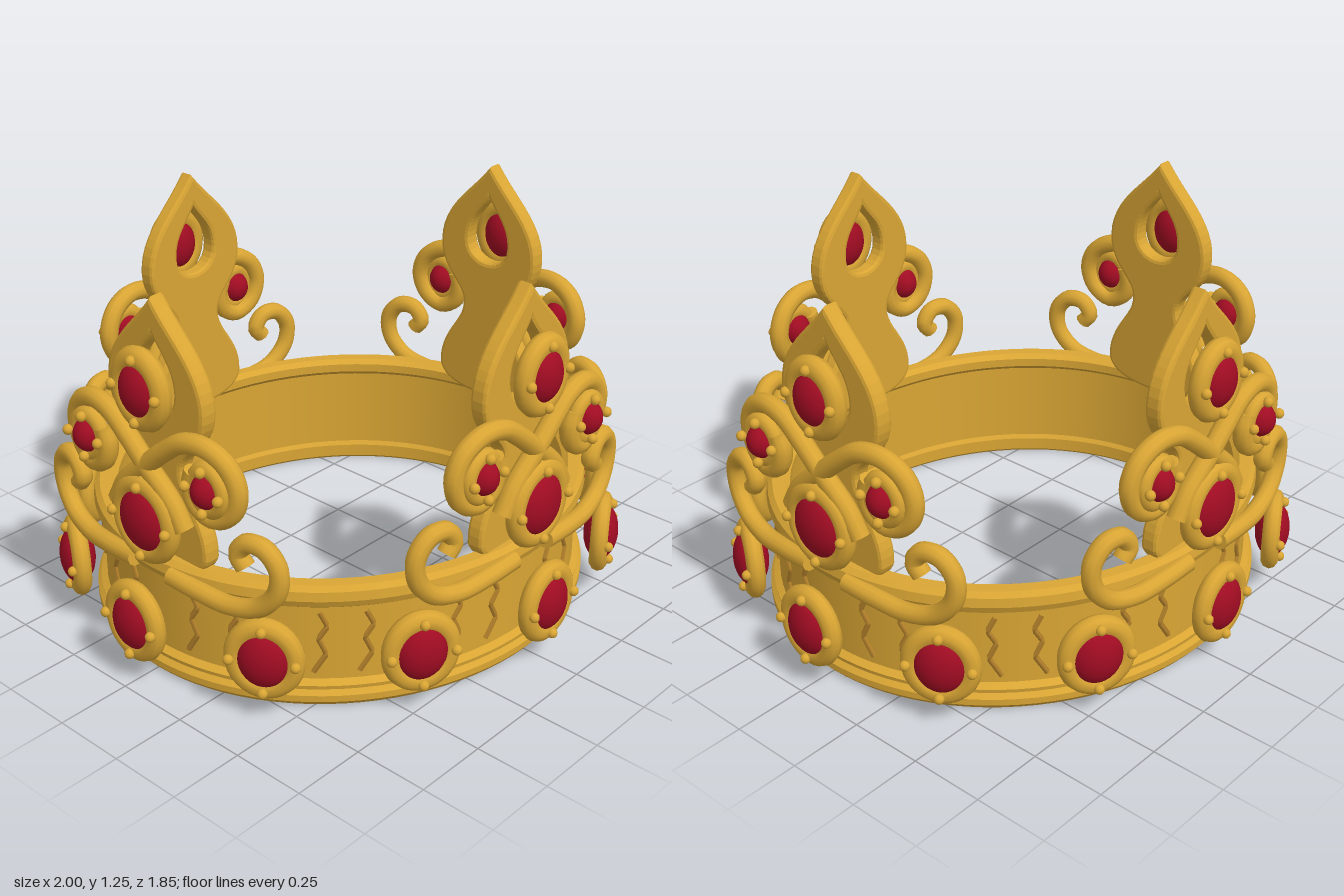
import * as THREE from 'three';

const gold = new THREE.MeshStandardMaterial({ color: 0xd9a534 });
const darkGold = new THREE.MeshStandardMaterial({ color: 0xb8842c });
const ruby = new THREE.MeshStandardMaterial({ color: 0xa00c22 });
const SQUASH = 0.92; // the band is slightly oval

function add(parent, name, geometry, material = gold) {
  const mesh = new THREE.Mesh(geometry, material);
  mesh.name = name;
  parent.add(mesh);
  return mesh;
}

// Oval gem in a rounded collar with four small studs, facing +z
function jewel(name, rx, ry, rim) {
  const group = new THREE.Group();
  group.name = name;
  add(group, 'gem', new THREE.SphereGeometry(1, 28, 18), ruby).scale.set(rx, ry, 0.058);
  const collar = add(group, 'collar', new THREE.TorusGeometry(rx + rim * 0.3, rim, 10, 32));
  collar.scale.set(1, (ry + rim) / (rx + rim), 0.95);
  for (let i = 0; i < 4; i++) {
    const a = i * Math.PI / 2;
    const stud = add(group, 'stud', new THREE.SphereGeometry(0.017, 10, 8));
    stud.position.set(Math.cos(a) * (rx + 0.018), Math.sin(a) * (ry + 0.01), 0.032);
  }
  return group;
}

// Band with a rounded moulding at the bottom and the top
function band() {
  const outline = [
    [0.79, 0.01], [0.80, 0], [0.86, 0], [0.875, 0.018], [0.875, 0.04], [0.86, 0.055],
    [0.862, 0.068], [0.84, 0.082], [0.84, 0.34], [0.858, 0.352], [0.867, 0.375],
    [0.862, 0.405], [0.845, 0.42], [0.805, 0.42], [0.785, 0.405], [0.785, 0.375],
    [0.80, 0.36], [0.80, 0.07], [0.79, 0.055], [0.79, 0.01],
  ];
  // doubled corners keep the moulding edges crisp
  const points = outline.flatMap(([x, y], i) => {
    const p = new THREE.Vector2(x, y);
    return i === 0 || i === outline.length - 1 ? [p] : [p, new THREE.Vector2(x, y + 1e-5)];
  });
  const geometry = new THREE.LatheGeometry(points, 96);
  geometry.scale(1, 1, SQUASH);
  return geometry;
}

// Raised zigzag bar wrapped on the band at the given angle
function zigzag(angle, sign) {
  const pts = [[0, 0.325], [-0.026, 0.275], [0.004, 0.23], [-0.022, 0.175], [0.02, 0.11]];
  const path = new THREE.CurvePath();
  const at = ([u, y]) => {
    const a = angle + sign * u / 0.85;
    return new THREE.Vector3(Math.sin(a) * 0.842, y, Math.cos(a) * 0.842 * SQUASH);
  };
  for (let i = 1; i < pts.length; i++) path.add(new THREE.LineCurve3(at(pts[i - 1]), at(pts[i])));
  return new THREE.TubeGeometry(path, 24, 0.01, 4);
}

// Leaf over a round foot, pierced with a pointed eye
function plate() {
  const s = new THREE.Shape();
  s.moveTo(0, 0.385);
  s.bezierCurveTo(0.1, 0.385, 0.17, 0.4, 0.185, 0.45);
  s.bezierCurveTo(0.195, 0.57, 0.085, 0.63, 0.085, 0.72);
  s.bezierCurveTo(0.085, 0.8, 0.195, 0.82, 0.195, 0.94);
  s.bezierCurveTo(0.195, 1.07, 0.07, 1.14, 0, 1.235);
  s.bezierCurveTo(-0.07, 1.14, -0.195, 1.07, -0.195, 0.94);
  s.bezierCurveTo(-0.195, 0.82, -0.085, 0.8, -0.085, 0.72);
  s.bezierCurveTo(-0.085, 0.63, -0.195, 0.57, -0.185, 0.45);
  s.bezierCurveTo(-0.17, 0.4, -0.1, 0.385, 0, 0.385);
  const eye = new THREE.Path();
  eye.moveTo(0, 1.17);
  eye.bezierCurveTo(-0.03, 1.1, -0.1, 1.07, -0.1, 0.97);
  eye.bezierCurveTo(-0.1, 0.85, 0.1, 0.85, 0.1, 0.97);
  eye.bezierCurveTo(0.1, 1.07, 0.03, 1.1, 0, 1.17);
  s.holes.push(eye);
  const geometry = new THREE.ExtrudeGeometry(s, {
    depth: 0.036, bevelThickness: 0.012, bevelSize: 0.014, bevelSegments: 2, curveSegments: 12,
  });
  geometry.translate(0, 0, 0.012);
  return geometry;
}

// Scroll wire with closed ends, bending back gently away from the centre
function scroll(parent, name, points, side, radius) {
  const path = new THREE.CatmullRomCurve3(points.map(([x, y]) =>
    new THREE.Vector3(side * x, y, 0.1 - 0.25 * x * x)));
  add(parent, name, new THREE.TubeGeometry(path, 56, radius, 10));
  for (const t of [0, 1]) {
    const cap = add(parent, name + 'End', new THREE.CircleGeometry(radius, 10));
    const end = path.getPointAt(t);
    cap.position.copy(end);
    cap.lookAt(end.clone().addScaledVector(path.getTangentAt(t), t ? 1 : -1));
  }
}

// One tall ornament: plate, scrolls and four jewels, with its back at z = 0
function ornament() {
  const group = new THREE.Group();
  add(group, 'leafPlate', plate());
  const upper = jewel('upperJewel', 0.076, 0.09, 0.034);
  upper.position.set(0, 0.98, 0.105);
  const lower = jewel('lowerJewel', 0.1, 0.107, 0.032);
  lower.position.set(0, 0.55, 0.115);
  group.add(upper, lower);
  const curl = [[-0.15, 0.56], [-0.1, 0.64], [0, 0.73], [0.08, 0.80], [0.16, 0.855], [0.25, 0.865],
    [0.325, 0.825], [0.356, 0.75], [0.33, 0.675], [0.265, 0.64], [0.205, 0.67], [0.185, 0.73], [0.2, 0.78]];
  const hook = [[0.08, 0.375], [0.2, 0.365], [0.32, 0.36], [0.42, 0.39], [0.48, 0.46],
    [0.485, 0.54], [0.44, 0.595], [0.38, 0.595], [0.35, 0.55], [0.375, 0.515]];
  for (const side of [1, -1]) {
    scroll(group, 'upperScroll', curl, side, 0.032);
    scroll(group, 'lowerScroll', hook, side, 0.031);
    const small = jewel('scrollJewel', 0.052, 0.058, 0.026);
    small.position.set(side * 0.263, 0.74, 0.095);
    group.add(small);
  }
  return group;
}

export function createModel() {
  const crown = new THREE.Group();
  crown.name = 'crown';
  add(crown, 'band', band());

  // Twelve jewels around the band, with two zigzags in each gap
  for (let i = 0; i < 12; i++) {
    const a = i * Math.PI / 6;
    const j = jewel('bandJewel', 0.085, 0.098, 0.032);
    j.position.set(Math.sin(a) * 0.941, 0.217, Math.cos(a) * 0.866);
    j.rotation.y = a;
    crown.add(j);
    for (const k of [1, 2]) {
      const angle = a + k * Math.PI / 18;
      add(crown, 'zigzag', zigzag(angle, Math.sin(angle) > 0 ? 1 : -1), darkGold);
    }
  }

  // Four ornaments: front, left, back and right
  ['front', 'left', 'back', 'right'].forEach((place, i) => {
    const o = ornament();
    o.name = place + 'Ornament';
    const a = i * Math.PI / 2;
    o.rotation.y = a;
    o.position.set(Math.sin(a) * 0.76, 0, Math.cos(a) * 0.695);
    crown.add(o);
  });
  return crown;
}
